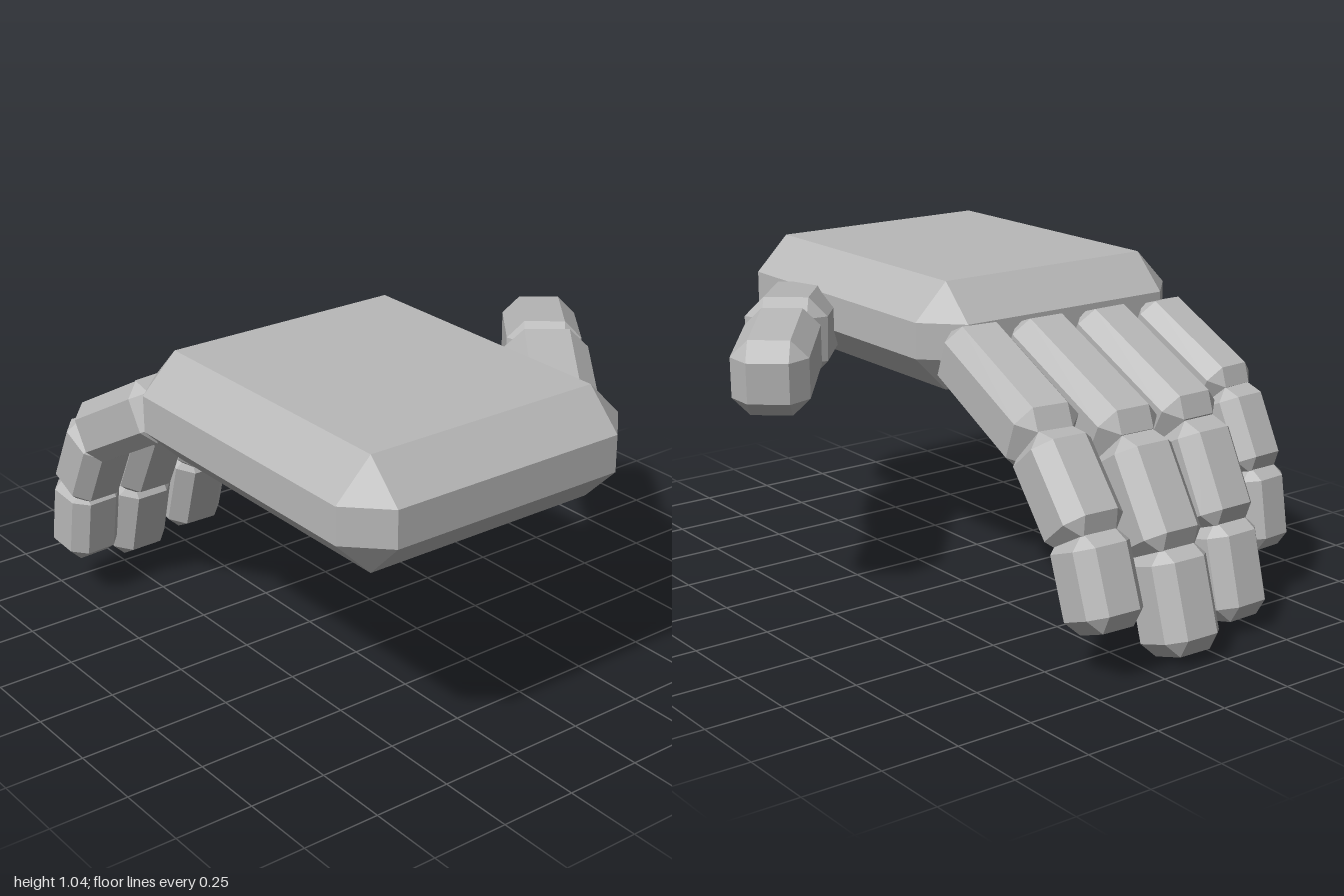
import * as THREE from 'three';
import { ConvexGeometry } from 'three/addons/geometries/ConvexGeometry.js';

// Box with every edge and corner cut off by c
function chamferBox(w, h, d, c) {
  const pts = [];
  for (const sx of [-1, 1]) for (const sy of [-1, 1]) for (const sz of [-1, 1]) {
    const x = w / 2, y = h / 2, z = d / 2;
    pts.push(
      new THREE.Vector3(sx * x, sy * (y - c), sz * (z - c)),
      new THREE.Vector3(sx * (x - c), sy * y, sz * (z - c)),
      new THREE.Vector3(sx * (x - c), sy * (y - c), sz * z));
  }
  return new ConvexGeometry(pts);
}

export function createModel() {
  const group = new THREE.Group();
  const grey = new THREE.MeshStandardMaterial({ color: 0xb8b8b8, flatShading: true });
  grey.name = 'grey';

  // Palm
  const palm = new THREE.Mesh(chamferBox(1.025, 0.35, 1.18, 0.117), grey);
  palm.name = 'palm';
  palm.position.set(-0.2875, 0.875, 0.41);
  group.add(palm);

  // A digit is a chain of chamfered segments that overlap a little at the joints
  function addDigit(name, widths, joints) {
    const digit = new THREE.Group();
    digit.name = name;
    for (let i = 0; i < joints.length - 1; i++) {
      const a = new THREE.Vector3(...joints[i]);
      const b = new THREE.Vector3(...joints[i + 1]);
      const startLap = i > 0 ? 0.018 : 0;
      const endLap = i < joints.length - 2 ? 0.018 : 0;
      const dir = b.clone().sub(a).normalize();
      a.addScaledVector(dir, -startLap);
      b.addScaledVector(dir, endLap);
      const w = widths[i];
      const seg = new THREE.Mesh(chamferBox(w, w, a.distanceTo(b), w * 0.23), grey);
      seg.name = name + 'Segment' + (i + 1);
      seg.position.copy(a).lerp(b, 0.5);
      seg.lookAt(b);
      digit.add(seg);
    }
    group.add(digit);
  }

  // Fingers, curling down and away from the palm
  addDigit('indexFinger', [0.225, 0.217, 0.208],
    [[0.085, 0.855, -0.13], [0.135, 0.665, -0.61], [0.144, 0.43, -0.81], [0.148, 0.17, -0.908]]);
  addDigit('middleFinger', [0.23, 0.222, 0.213],
    [[-0.165, 0.85, -0.13], [-0.153, 0.615, -0.64], [-0.149, 0.33, -0.82], [-0.147, 0.03, -0.915]]);
  addDigit('ringFinger', [0.225, 0.217, 0.208],
    [[-0.422, 0.85, -0.13], [-0.431, 0.61, -0.605], [-0.433, 0.335, -0.745], [-0.435, 0.045, -0.82]]);
  addDigit('littleFinger', [0.2, 0.192, 0.185],
    [[-0.672, 0.85, -0.13], [-0.7, 0.65, -0.495], [-0.705, 0.425, -0.605], [-0.708, 0.172, -0.645]]);

  // Thumb
  addDigit('thumb', [0.265, 0.24],
    [[0.177, 0.8, 0.68], [0.483, 0.845, 0.289], [0.735, 0.81, -0.023]]);

  return group;
}
